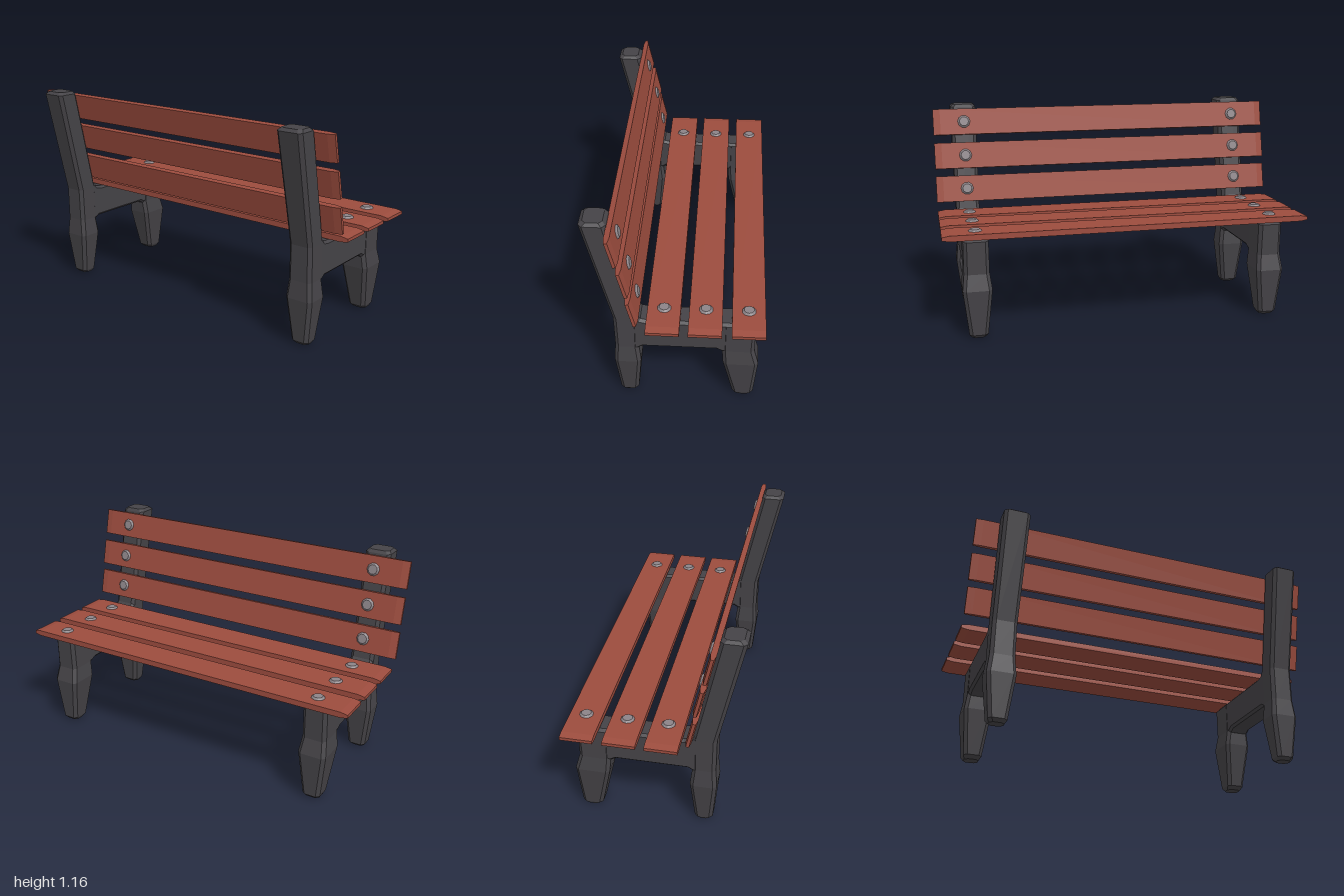
import * as THREE from 'three';

const wood = new THREE.MeshStandardMaterial({ color: 0x9c4c3e, flatShading: true });
const iron = new THREE.MeshStandardMaterial({ color: 0x454347, flatShading: true });
const steel = new THREE.MeshStandardMaterial({ color: 0x8c8488, flatShading: true });

function mesh(name, geometry, material) {
  const m = new THREE.Mesh(geometry, material);
  m.name = name;
  return m;
}

// Skin a stack of chamfered rectangles; each section is [y, x0, x1, halfDepth]
function loft(sections, chamfer = 0.018) {
  const pos = [], index = [];
  for (const [y, x0, x1, h] of sections) {
    const c = chamfer;
    const ring = [
      [x1, h - c], [x1, c - h], [x1 - c, -h], [x0 + c, -h],
      [x0, c - h], [x0, h - c], [x0 + c, h], [x1 - c, h],
    ];
    for (const [x, z] of ring) pos.push(x, y, z);
  }
  const last = (sections.length - 1) * 8;
  for (let s = 0; s < last; s += 8) {
    for (let i = 0; i < 8; i++) {
      const a = s + i, b = s + (i + 1) % 8;
      index.push(a, b, b + 8, a, b + 8, a + 8);
    }
  }
  for (let i = 1; i < 7; i++) {
    index.push(0, i + 1, i, last, last + i, last + i + 1);
  }
  const g = new THREE.BufferGeometry();
  g.setAttribute('position', new THREE.Float32BufferAttribute(pos, 3));
  g.setIndex(index);
  const flat = g.toNonIndexed();
  flat.computeVertexNormals();
  return flat;
}

// Side frame: raked rear post, front leg and the beam joining them
function sideFrame() {
  const frame = new THREE.Group();
  frame.name = 'sideFrame';

  frame.add(mesh('rearPost', loft([
    [0.005, -0.283, -0.223, 0.04],
    [0.022, -0.30, -0.205, 0.05],
    [0.26, -0.322, -0.183, 0.0775],
    [0.36, -0.315, -0.194, 0.067],
    [0.55, -0.318, -0.192, 0.066],
    [1.147, -0.45, -0.322, 0.072],
    [1.162, -0.432, -0.336, 0.058],
  ]), iron));

  frame.add(mesh('frontLeg', loft([
    [0.003, 0.32, 0.39, 0.04],
    [0.022, 0.297, 0.408, 0.05],
    [0.27, 0.242, 0.425, 0.0775],
    [0.355, 0.235, 0.401, 0.067],
    [0.53, 0.235, 0.405, 0.066],
    [0.545, 0.25, 0.382, 0.052],
  ]), iron));

  // Beam outline with small fillets where it meets the uprights
  const bevel = 0.014;
  const outline = new THREE.Shape([
    [-0.28, 0.345], [-0.195, 0.345], [-0.17, 0.36], [0.205, 0.36],
    [0.235, 0.343], [0.33, 0.37], [0.33, 0.545], [-0.15, 0.545],
    [-0.18, 0.552], [-0.198, 0.575], [-0.28, 0.575],
  ].map(([x, y]) => new THREE.Vector2(x, y)));
  const beam = new THREE.ExtrudeGeometry(outline, {
    depth: 0.13 - 2 * bevel, bevelEnabled: true, bevelSegments: 1,
    bevelThickness: bevel, bevelSize: bevel, bevelOffset: -bevel,
  });
  beam.translate(0, 0, bevel - 0.065);
  frame.add(mesh('seatBeam', beam, iron));
  return frame;
}

const FRAME_Z = [0.826, -0.803];

// Plank along z, thinned at both ends, with a bolt over each side frame
function slat(name, width, thickness) {
  const group = new THREE.Group();
  group.name = name;
  const t = thickness / 2, e = t * 0.55;
  const profile = new THREE.Shape([
    [-1, -e], [-0.96, -t], [0.96, -t], [1, -e],
    [1, e], [0.96, t], [-0.96, t], [-1, e],
  ].map(([x, y]) => new THREE.Vector2(x, y)));
  const plank = new THREE.ExtrudeGeometry(profile, { depth: width, bevelEnabled: false });
  plank.translate(0, 0, -width / 2).rotateY(Math.PI / 2);
  group.add(mesh('plank', plank, wood));

  for (const z of FRAME_Z) {
    const bolt = mesh('bolt', new THREE.CylinderGeometry(0.026, 0.038, 0.012, 10), steel);
    bolt.position.set(0, t + 0.004, z);
    group.add(bolt);
  }
  return group;
}

export function createModel() {
  const bench = new THREE.Group();
  bench.name = 'bench';

  for (const z of FRAME_Z) {
    const frame = sideFrame();
    frame.position.z = z;
    bench.add(frame);
  }

  // Seat slats
  for (const x of [-0.0625, 0.149, 0.365]) {
    const s = slat('seatSlat', 0.168, 0.031);
    s.position.set(x, 0.568, 0);
    bench.add(s);
  }

  // Backrest slats, leaning with the rear posts
  for (const [x, y] of [[-0.211, 0.689], [-0.246, 0.877], [-0.291, 1.066]]) {
    const s = slat('backSlat', 0.148, 0.029);
    s.position.set(x, y, 0);
    s.rotation.z = THREE.MathUtils.degToRad(-77);
    bench.add(s);
  }
  return bench;
}
